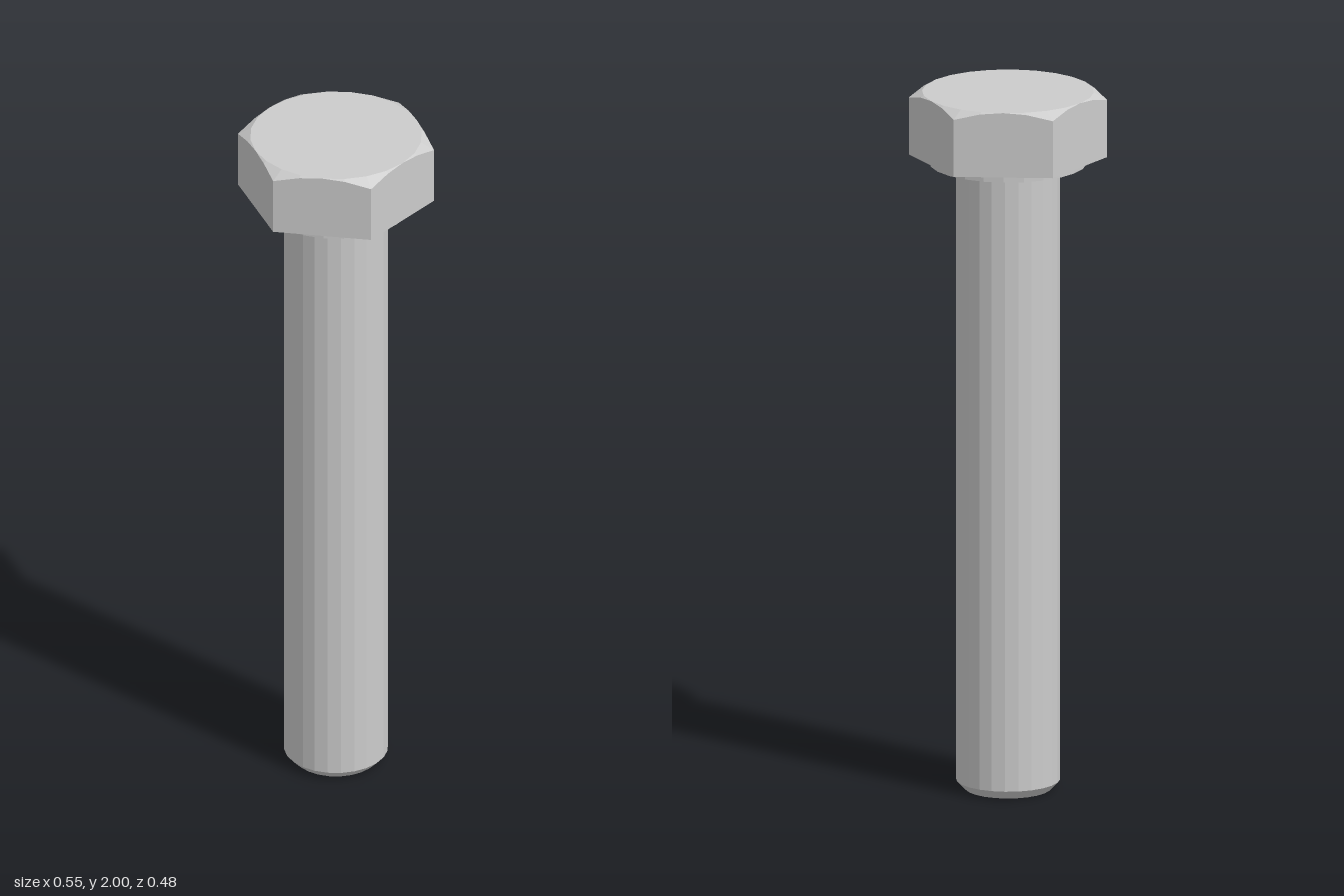
import * as THREE from 'three';

const SIDES = 24;
const FLAT = 0.239; // centre to flat of the hexagon
const CORNER = FLAT / Math.cos(Math.PI / 6);
const UNDER = 1.815; // underside of the head
const WASHER = 0.219; // radius of the washer face

const material = new THREE.MeshStandardMaterial({ color: 0xcccccc, flatShading: true });

// Profile is a list of [radius, height], ordered from bottom to top
function lathe(profile) {
  return new THREE.LatheGeometry(profile.map(([r, y]) => new THREE.Vector2(r, y)), SIDES);
}

function addPart(group, name, geometry) {
  const faceted = geometry.toNonIndexed();
  faceted.computeVertexNormals();
  const mesh = new THREE.Mesh(faceted, material);
  mesh.name = name;
  group.add(mesh);
}

// Turned head squeezed to a hexagon, its side tops following a 30 degree chamfer cone
function hexHeadGeometry() {
  const geometry = lathe([[WASHER, UNDER], [CORNER, UNDER], [CORNER, 1.979], [FLAT, 2], [0, 2]]);
  const p = geometry.attributes.position;
  const step = Math.PI / 3;
  for (let i = 0; i < p.count; i++) {
    const x = p.getX(i), y = p.getY(i), z = p.getZ(i);
    if (Math.hypot(x, z) < FLAT + 0.01) continue;
    const angle = Math.atan2(z, x);
    const offset = angle - (Math.floor(angle / step + 1e-6) + 0.5) * step;
    const r = FLAT / Math.cos(offset);
    const top = 2 - (r - FLAT) * Math.tan(Math.PI / 6);
    p.setXYZ(i, r * Math.cos(angle), y > 1.9 ? top : y, r * Math.sin(angle));
  }
  return geometry;
}

export function createModel() {
  const bolt = new THREE.Group();
  bolt.name = 'hexBolt';

  // Shank with chamfered tip and a small fillet below the head
  addPart(bolt, 'shank', lathe([
    [0, 0], [0.12, 0], [0.145, 0.026], [0.145, 1.783], [0.148, 1.791], [0.156, 1.795],
  ]));

  // Raised bearing face under the head
  addPart(bolt, 'washerFace', lathe([[0.156, 1.795], [WASHER, 1.795], [WASHER, UNDER]]));

  addPart(bolt, 'hexHead', hexHeadGeometry());
  return bolt;
}
